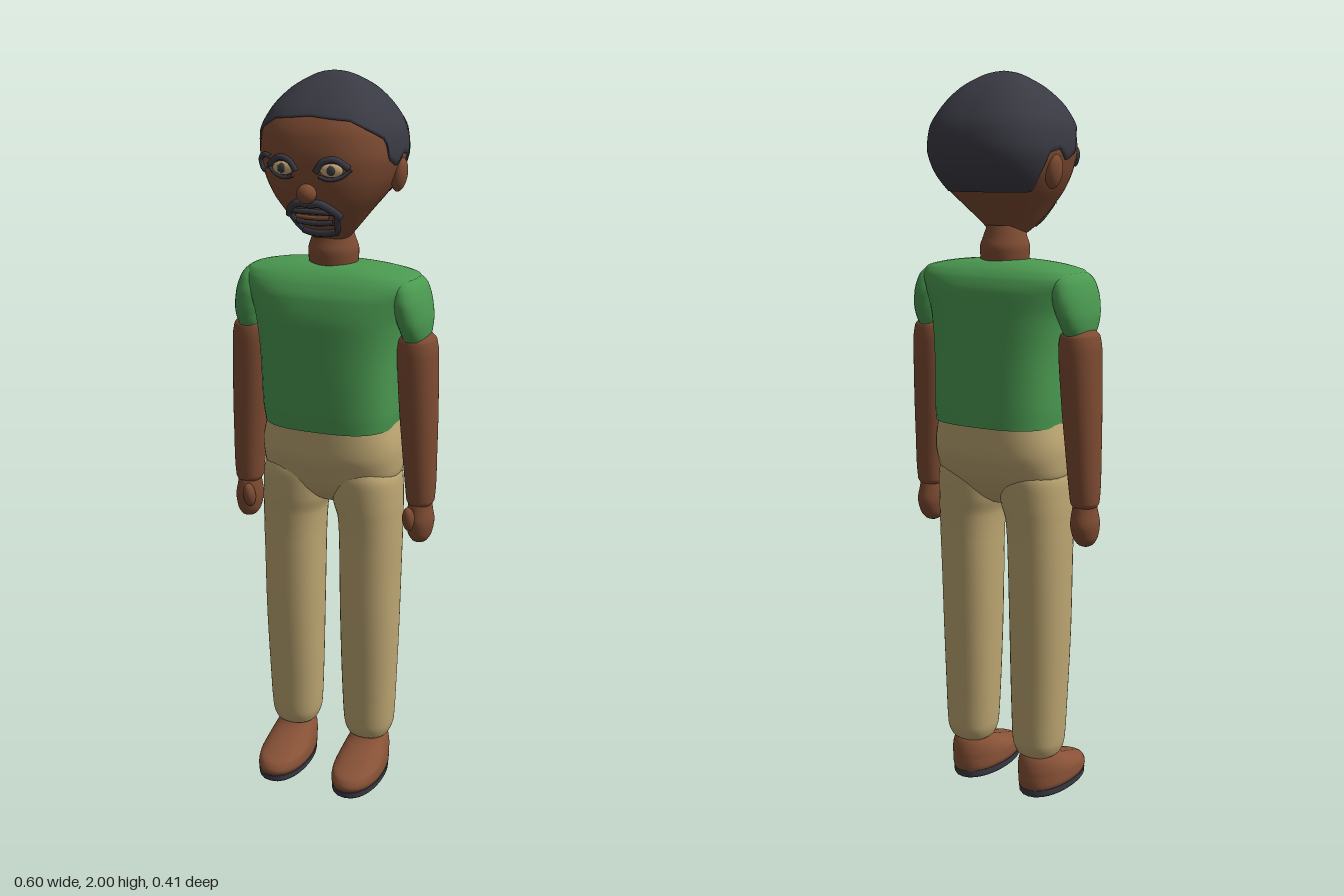
import * as THREE from 'three';

const mat = (name, color) => Object.assign(new THREE.MeshStandardMaterial({ color }), { name });

// Grid of points fn(row, angle), closed around the y axis
function ringGrid(rows, cols, fn) {
  const pos = [], idx = [];
  for (let i = 0; i < rows; i++)
    for (let j = 0; j < cols; j++) pos.push(...fn(i, (j / cols) * Math.PI * 2));
  for (let i = 0; i < rows - 1; i++)
    for (let j = 0; j < cols; j++) {
      const k = (j + 1) % cols, a = i * cols, b = a + cols;
      idx.push(a + j, a + k, b + j, a + k, b + k, b + j);
    }
  const g = new THREE.BufferGeometry();
  g.setAttribute('position', new THREE.Float32BufferAttribute(pos, 3));
  g.setIndex(idx);
  g.computeVertexNormals();
  return g;
}

// Smooth monotone interpolation of sections [y, centreX, halfWidth, zFront, zBack]
function sectionAt(s, y) {
  let i = 0;
  while (i < s.length - 2 && y > s[i + 1][0]) i++;
  const h = s[i + 1][0] - s[i][0], t = Math.min(1, Math.max(0, (y - s[i][0]) / h));
  const slope = (k, c) => (s[k + 1][c] - s[k][c]) / (s[k + 1][0] - s[k][0]);
  const tangent = (k, c) => {
    if (k === 0) return slope(0, c);
    if (k === s.length - 1) return slope(k - 1, c);
    const a = slope(k - 1, c), b = slope(k, c);
    return a * b <= 0 ? 0 : (2 * a * b) / (a + b);
  };
  return [1, 2, 3, 4].map((c) => {
    const t2 = t * t, t3 = t2 * t;
    return (2 * t3 - 3 * t2 + 1) * s[i][c] + (t3 - 2 * t2 + t) * h * tangent(i, c)
      + (3 * t2 - 2 * t3) * s[i + 1][c] + (t3 - t2) * h * tangent(i + 1, c);
  });
}

// Point on a rounded cross-section; n = 2 is an ellipse, larger is boxier
function ringPoint(s, y, phi, n, scale = 1) {
  const [cx, rx, zf, zb] = sectionAt(s, y), rz = (zf - zb) / 2;
  const sn = Math.sin(phi), cs = Math.cos(phi);
  const q = Math.abs(sn / Math.max(rx, 1e-4)) ** n + Math.abs(cs / Math.max(rz, 1e-4)) ** n;
  const r = q ** (-1 / n) * scale;
  return [cx + r * sn, y, (zf + zb) / 2 + r * cs];
}

// Closed body through the sections, with flat caps
function loft(s, n = 2, cols = 40, sub = 5) {
  const ys = [];
  for (let i = 0; i < s.length - 1; i++)
    for (let k = 0; k < sub; k++) ys.push(s[i][0] + ((s[i + 1][0] - s[i][0]) * k) / sub);
  const top = s[s.length - 1][0];
  ys.push(top);
  const all = [ys[0], ys[0], ...ys, top, top];
  return ringGrid(all.length, cols, (i, phi) =>
    ringPoint(s, all[i], phi, n, i === 0 || i === all.length - 1 ? 0 : 1));
}

const HEAD = [
  [1.565, 0, 0.03, 0.035, -0.02], [1.58, 0, 0.052, 0.055, -0.025], [1.6, 0, 0.07, 0.085, -0.04],
  [1.65, 0, 0.108, 0.138, -0.1], [1.7, 0, 0.145, 0.165, -0.155], [1.75, 0, 0.17, 0.176, -0.189],
  [1.8, 0, 0.182, 0.179, -0.2], [1.85, 0, 0.178, 0.172, -0.192], [1.9, 0, 0.154, 0.149, -0.163],
  [1.95, 0, 0.11, 0.095, -0.115], [1.98, 0, 0.062, 0.045, -0.066], [1.992, 0, 0.03, 0.018, -0.035],
  [1.996, 0, 0, -0.008, -0.008]];
const HEAD_N = 2.5;
const faceZ = (x, y) => {
  const [, rx, zf, zb] = sectionAt(HEAD, y);
  return (zf + zb) / 2 + ((zf - zb) / 2) * Math.max(0, 1 - Math.abs(x / rx) ** HEAD_N) ** (1 / HEAD_N);
};

// Hairline height by angle from the front, in degrees
const HAIRLINE = [[0, 1.9], [35, 1.89], [64, 1.84], [68, 1.79], [82, 1.77], [93, 1.8], [107, 1.79], [121, 1.69], [180, 1.69]];
function hairline(phi) {
  const d = THREE.MathUtils.radToDeg(phi > Math.PI ? 2 * Math.PI - phi : phi);
  let i = 0;
  while (i < HAIRLINE.length - 2 && d > HAIRLINE[i + 1][0]) i++;
  const [a, ya] = HAIRLINE[i], [b, yb] = HAIRLINE[i + 1];
  return ya + ((yb - ya) * (d - a)) / (b - a);
}

export function createModel() {
  const model = new THREE.Group();
  const skin = mat('skin', 0x7d4b32), shirt = mat('shirt green', 0x4b9a51);
  const pants = mat('trouser khaki', 0xbda672), dark = mat('hair charcoal', 0x3a3a44);
  const leather = mat('shoe brown', 0x885237), eyeTan = mat('eye tan', 0xc9aa78);
  const add = (name, geo, m) => {
    const mesh = new THREE.Mesh(geo, m);
    mesh.name = name;
    model.add(mesh);
    return mesh;
  };
  const ball = (name, m, p, r) => {
    const b = add(name, new THREE.SphereGeometry(1, 24, 16), m);
    b.position.set(...p);
    b.scale.set(...r);
    return b;
  };
  // Strand lying on the face through [x, y] points
  const strand = (name, pts, r, m = dark, closed = false) => add(name, new THREE.TubeGeometry(
    new THREE.CatmullRomCurve3(pts.map(([x, y]) => new THREE.Vector3(x, y, faceZ(x, y) + 0.004)), closed), 28, r, 8, closed), m);

  // Head, hair, neck
  add('head', loft(HEAD, HEAD_N, 56), skin);
  add('hair', ringGrid(26, 144, (i, phi) => {
    const t = Math.max(0, i - 1) / 24, y0 = hairline(phi);
    const y = y0 + (1.996 - y0) * Math.sin((t * Math.PI) / 2);
    const p = ringPoint(HEAD, y, phi, HEAD_N, i === 0 ? 0.98 : 1.025);
    p[1] += 0.004 * t;
    return p;
  }), dark);
  add('neck', loft([[1.48, 0, 0.06, 0.055, -0.06], [1.51, 0, 0.066, 0.062, -0.068], [1.54, 0, 0.068, 0.064, -0.07],
    [1.57, 0, 0.06, 0.056, -0.06], [1.6, 0, 0.05, 0.05, -0.05]]), skin);

  // Face
  ball('nose', skin, [0, 1.712, 0.176], [0.026, 0.025, 0.024]);
  for (const s of [1, -1]) {
    const ear = ball('ear', skin, [s * 0.172, 1.742, -0.03], [0.02, 0.045, 0.028]);
    ear.rotation.z = -s * 0.15;
    const ex = s * 0.066, ey = 1.773;
    const eye = ball('eye', eyeTan, [ex, ey, faceZ(ex, ey)], [0.03, 0.017, 0.009]);
    eye.rotation.y = s * 0.12;
    ball('pupil', dark, [ex, ey, faceZ(ex, ey) + 0.006], [0.012, 0.012, 0.006]);
    strand('upperLid', [[s * 0.026, 1.768], [s * 0.045, 1.793], [s * 0.075, 1.8], [s * 0.108, 1.778]], 0.008);
    strand('lowerLid', [[s * 0.035, 1.757], [s * 0.06, 1.75], [s * 0.09, 1.757], [s * 0.112, 1.776]], 0.005);
    strand('moustache', [[0, 1.683], [s * 0.03, 1.686], [s * 0.056, 1.67], [s * 0.07, 1.65]], 0.01);
    strand('beardSide', [[s * 0.066, 1.655], [s * 0.058, 1.635], [s * 0.052, 1.615], [s * 0.04, 1.598]], 0.008);
  }
  strand('sideLash', [[-0.1, 1.797], [-0.125, 1.8], [-0.148, 1.785], [-0.14, 1.762], [-0.118, 1.76]], 0.007);
  strand('upperLip', [[-0.055, 1.662], [0, 1.664], [0.055, 1.662]], 0.007);
  strand('mouth', [[-0.045, 1.648], [0, 1.646], [0.045, 1.648]], 0.006, skin);
  strand('lowerLip', [[-0.05, 1.634], [0, 1.63], [0.05, 1.634]], 0.008);
  strand('goatee', [[-0.046, 1.606], [-0.02, 1.6], [0.02, 1.6], [0.046, 1.606]], 0.011);

  // Shirt and hips
  add('shirtBody', loft([[1.07, 0, 0.182, 0.138, -0.153], [1.12, 0, 0.188, 0.143, -0.152], [1.25, 0, 0.192, 0.147, -0.147],
    [1.36, 0, 0.205, 0.147, -0.143], [1.43, 0, 0.228, 0.136, -0.138], [1.465, 0, 0.242, 0.118, -0.125],
    [1.485, 0, 0.235, 0.1, -0.108], [1.5, 0, 0.18, 0.078, -0.085], [1.509, 0, 0.1, 0.055, -0.06], [1.512, 0, 0.03, 0.02, -0.02]], 2.9, 56), shirt);
  add('hips', loft([[0.84, 0, 0.03, 0.035, -0.04], [0.86, 0, 0.085, 0.065, -0.07], [0.89, 0, 0.15, 0.09, -0.096],
    [0.94, 0, 0.196, 0.112, -0.125], [1, 0, 0.199, 0.13, -0.145], [1.09, 0, 0.18, 0.132, -0.148]], 2.5, 48), pants);

  for (const s of [1, -1]) {
    const limb = (name, m, sections, n) =>
      add(name, loft(sections.map(([y, cx, ...r]) => [y, s * cx, ...r]), n), m);
    // Sleeve, arm and hand
    limb('sleeve', shirt, [[1.322, 0.238, 0.034, 0.058, -0.06], [1.345, 0.237, 0.038, 0.074, -0.076], [1.38, 0.232, 0.044, 0.088, -0.09],
      [1.42, 0.224, 0.046, 0.094, -0.096], [1.455, 0.218, 0.042, 0.085, -0.088], [1.48, 0.213, 0.03, 0.06, -0.063], [1.488, 0.21, 0.006, 0.01, -0.01]]);
    limb('arm', skin, [[0.855, 0.258, 0.03, 0.034, -0.032], [0.87, 0.258, 0.038, 0.04, -0.04], [1, 0.253, 0.046, 0.048, -0.05],
      [1.15, 0.246, 0.052, 0.055, -0.06], [1.28, 0.241, 0.054, 0.059, -0.066], [1.318, 0.24, 0.049, 0.055, -0.062], [1.335, 0.24, 0.034, 0.038, -0.045]], 2.2);
    limb('hand', skin, [[0.745, 0.259, 0.006, 0.01, 0], [0.752, 0.259, 0.02, 0.028, -0.018], [0.775, 0.259, 0.033, 0.042, -0.036],
      [0.81, 0.259, 0.038, 0.047, -0.045], [0.845, 0.258, 0.034, 0.04, -0.038], [0.87, 0.258, 0.03, 0.034, -0.032]]);
    const thumb = ball('thumb', skin, [s * 0.24, 0.822, 0.045], [0.017, 0.038, 0.02]);
    thumb.rotation.x = 0.3;

    // Trouser leg
    limb('leg', pants, [[0.112, 0.114, 0.045, 0.045, -0.045], [0.125, 0.114, 0.06, 0.061, -0.06], [0.16, 0.114, 0.071, 0.071, -0.071],
      [0.25, 0.114, 0.076, 0.076, -0.073], [0.5, 0.115, 0.083, 0.088, -0.08], [0.72, 0.115, 0.086, 0.093, -0.089],
      [0.8, 0.113, 0.088, 0.097, -0.094], [0.85, 0.106, 0.095, 0.102, -0.1], [0.92, 0.1, 0.097, 0.105, -0.105], [0.98, 0.09, 0.07, 0.09, -0.09]], 2.3);

    // Shoe and sole
    limb('shoe', leather, [[0.02, 0.115, 0.066, 0.2, -0.06], [0.035, 0.115, 0.07, 0.206, -0.064], [0.055, 0.115, 0.069, 0.195, -0.066],
      [0.07, 0.115, 0.066, 0.155, -0.066], [0.09, 0.115, 0.06, 0.1, -0.063], [0.11, 0.115, 0.052, 0.06, -0.056], [0.13, 0.115, 0.04, 0.04, -0.04]], 2.2);
    limb('sole', dark, [[0, 0.115, 0.064, 0.196, -0.056], [0.006, 0.115, 0.068, 0.203, -0.06], [0.022, 0.115, 0.069, 0.204, -0.062]], 2.2);
  }
  return model;
}
